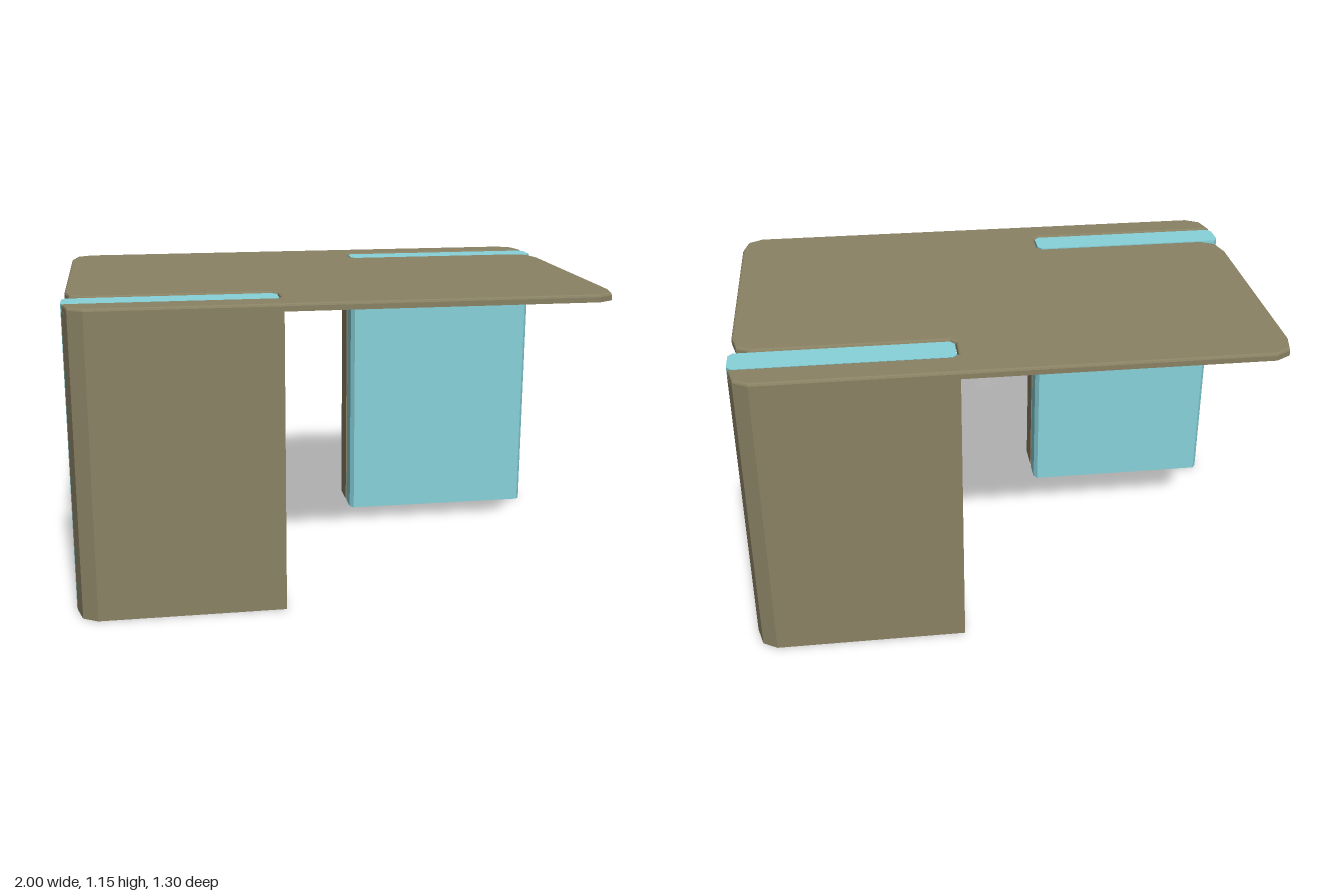
import * as THREE from 'three';

const brown = new THREE.MeshStandardMaterial({ color: 0x8a8264 });
const blue = new THREE.MeshStandardMaterial({ color: 0x88d2da });

// Extrudes a plan outline of [x, z] points from y0 to y1, with an optional bevel on the upper edge
function slab(name, plan, y0, y1, material, bevel = 0) {
  const shape = new THREE.Shape(plan.map(([x, z]) => new THREE.Vector2(x, -z)));
  const geometry = new THREE.ExtrudeGeometry(shape, {
    depth: y1 - y0 - bevel,
    bevelEnabled: bevel > 0,
    bevelThickness: bevel,
    bevelSize: bevel,
    bevelOffset: -bevel,
    bevelSegments: 2,
  });
  geometry.rotateX(-Math.PI / 2);
  // Flatten the lower bevel so the underside stays square
  const p = geometry.attributes.position;
  for (let i = 0; i < p.count; i++) p.setY(i, Math.max(0, p.getY(i)));
  geometry.computeVertexNormals();
  geometry.translate(0, y0, 0);
  const mesh = new THREE.Mesh(geometry, material);
  mesh.name = name;
  return mesh;
}

// Half of the tabletop outline: a slot open at the side, then the far outer corner.
// Written for the front slot; the back half is the same turned by 180 degrees.
const halfOutline = (inner) => [
  [-0.995, 0.28], [-0.975, 0.365], [-0.92, 0.395],
  [inner - 0.02, 0.395], [inner, 0.415], [inner, 0.51], [inner - 0.02, 0.53],
  [-0.995, 0.53], [-0.975, 0.615], [-0.92, 0.648],
  [0.92, 0.648], [0.975, 0.615], [0.995, 0.53],
];
const turn = (points) => points.map(([x, z]) => [-x, -z]);

export function createModel() {
  const group = new THREE.Group();
  group.name = 'table';

  group.add(slab('tabletop', [...halfOutline(-0.225), ...turn(halfOutline(-0.195))], 1.12, 1.148, brown, 0.009));

  // Each end: an outer slab leg and a coloured panel standing up through the slot
  for (const [side, inner] of [['front', -0.23], ['back', -0.2]]) {
    const place = side === 'front' ? (points) => points : turn;
    const leg = [
      [-0.997, 0.53], [inner, 0.53], [inner, 0.648],
      [-0.92, 0.648], [-0.975, 0.615],
    ];
    const panel = [
      [-0.985, 0.405], [inner - 0.015, 0.405], [inner, 0.425], [inner, 0.506],
      [inner - 0.015, 0.526], [-0.985, 0.526], [-1, 0.506], [-1, 0.425],
    ];
    group.add(slab(side + 'Leg', place(leg), 0, 1.121, brown));
    group.add(slab(side + 'Panel', place(panel), 0, 1.144, blue));
  }
  return group;
}
